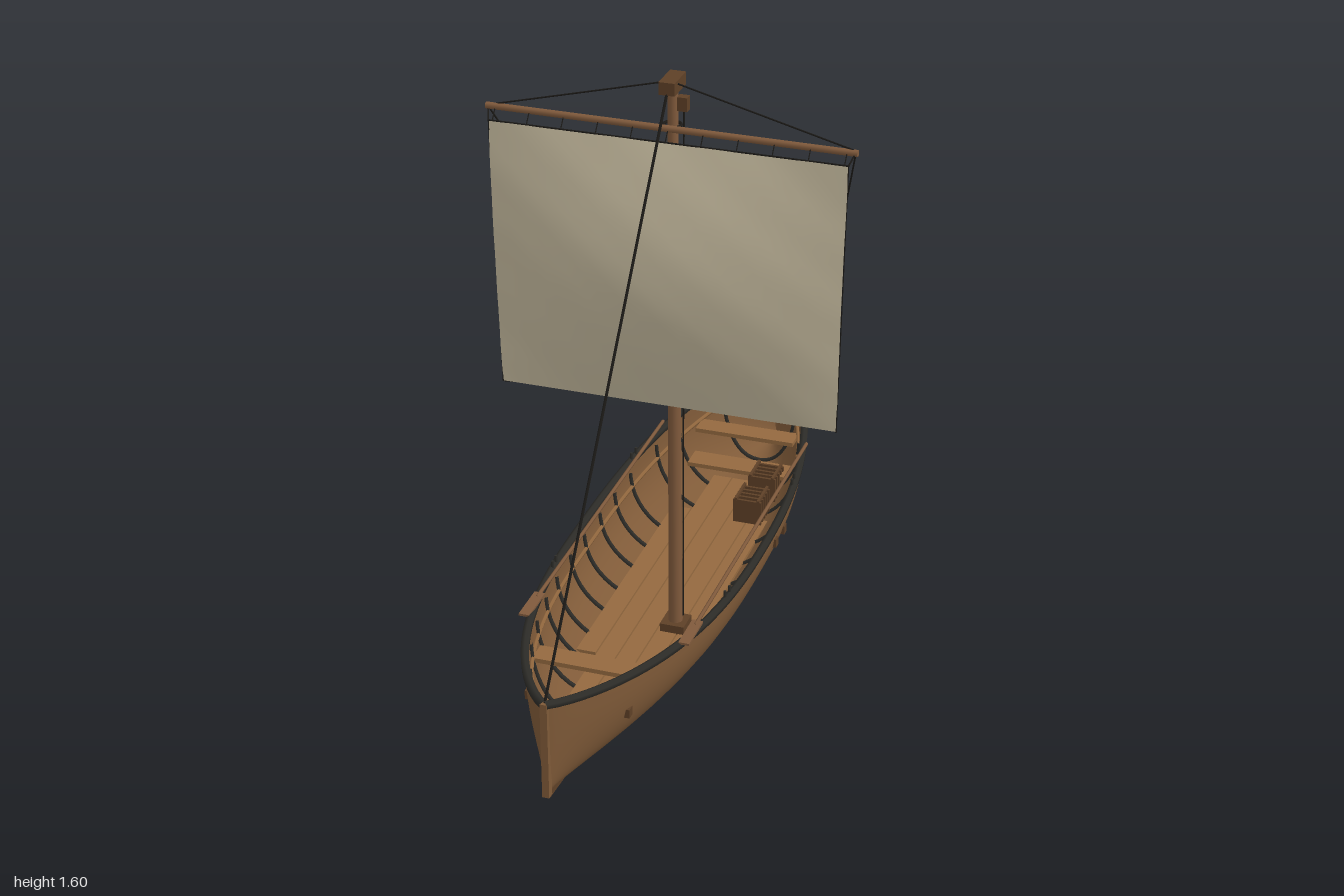
import * as THREE from 'three';

const mat = (name, color, side = THREE.FrontSide) => {
  const m = new THREE.MeshStandardMaterial({ color, side });
  m.name = name;
  return m;
};
const V = (x, y, z) => new THREE.Vector3(x, y, z);

// Hull lines: centre, plan width, sheer and bottom height along the length (t from -1 to 1)
const CX = -0.07, CZ = 0.043, HALF = 0.95;
const toT = z => THREE.MathUtils.clamp((z - CZ) / HALF, -1, 1);
const width = z => 0.248 * Math.pow(Math.max(0, 1 - Math.pow(Math.abs(toT(z)), 2.5)), 0.8);
const sheer = z => 0.232 + 0.065 * toT(z) ** 2;
const bottom = z => 0.02 + 0.028 * Math.abs(toT(z)) ** 3;

// Point on the hull section, a from -90 to 90 degrees, moved inwards by inset
function hullPoint(z, a, inset = 0) {
  const w = Math.max(0, width(z) - inset), s = sheer(z), b = bottom(z) + inset;
  const x = Math.sign(a) * w * Math.pow(Math.abs(Math.sin(a)), 0.9);
  return V(CX + x, s - (s - b) * Math.pow(Math.max(0, Math.cos(a)), 0.9), z);
}
// Half width of the hull at a height
function halfAt(z, y, inset = 0) {
  const s = sheer(z), b = bottom(z) + inset;
  const c = THREE.MathUtils.clamp((s - y) / (s - b), 0, 1) ** (1 / 0.9);
  return Math.max(0, width(z) - inset) * Math.pow(1 - c * c, 0.45);
}

// Surface from a grid of points
function grid(nu, nv, fn, flip = false) {
  const pos = [], idx = [];
  for (let i = 0; i <= nu; i++)
    for (let j = 0; j <= nv; j++) pos.push(...fn(i / nu, j / nv).toArray());
  for (let i = 0; i < nu; i++)
    for (let j = 0; j < nv; j++) {
      const a = i * (nv + 1) + j, b = a + nv + 1, c = a + 1, d = b + 1;
      if (flip) idx.push(a, c, b, b, c, d);
      else idx.push(a, b, c, b, d, c);
    }
  const g = new THREE.BufferGeometry();
  g.setAttribute('position', new THREE.Float32BufferAttribute(pos, 3));
  g.setIndex(idx);
  g.computeVertexNormals();
  return g;
}

export function createModel() {
  const root = new THREE.Group();
  root.name = 'sailingBoat';
  const hullWood = mat('hull wood', 0x7f5a38);
  const deckWood = mat('deck wood', 0x94693f);
  const sparWood = mat('spar wood', 0x805a3c);
  const darkWood = mat('dark wood', 0x5e4027);
  const trim = mat('dark trim', 0x2d2c28);
  const ropeMat = mat('rope', 0x1c1a17);
  const cloth = mat('sail cloth', 0xc6bb9f, THREE.DoubleSide);

  const add = (name, geo, m, parent = root) => {
    const mesh = new THREE.Mesh(geo, m);
    mesh.name = name;
    parent.add(mesh);
    return mesh;
  };
  const box = (name, w, h, d, x, y, z, m) => {
    const b = add(name, new THREE.BoxGeometry(w, h, d), m);
    b.position.set(x, y, z);
    return b;
  };
  // Straight round bar between two points
  const bar = (name, a, b, r0, r1, m, sides = 6) => {
    const d = b.clone().sub(a);
    const mesh = add(name, new THREE.CylinderGeometry(r1, r0, d.length(), sides), m);
    mesh.position.copy(a).addScaledVector(d, 0.5);
    mesh.quaternion.setFromUnitVectors(V(0, 1, 0), d.normalize());
    return mesh;
  };
  const rope = (name, a, b, r = 0.0022) => bar(name, a, b, r, r, ropeMat, 5);

  // Hull shells, with stations closer together at the ends
  const station = u => CZ - HALF * Math.cos(Math.PI * u);
  const angle = v => (v - 0.5) * Math.PI;
  add('hullOutside', grid(48, 28, (u, v) => hullPoint(station(u), angle(v)), true), hullWood);
  add('hullInside', grid(48, 28, (u, v) => hullPoint(station(u), angle(v), 0.012)), hullWood);

  // Gunwales and inner stringers on both sides
  for (const s of [-1, 1]) {
    const rail = [];
    for (let i = 0; i <= 32; i++) {
      const z = station(i / 32);
      rail.push(V(CX + s * Math.max(0, width(z) - 0.003), sheer(z) + 0.002, z));
    }
    add('gunwale', new THREE.TubeGeometry(new THREE.CatmullRomCurve3(rail), 64, 0.0115, 6), trim);
    const stringer = [];
    for (let i = 0; i <= 16; i++) {
      const z = -0.75 + i * 0.1;
      stringer.push(V(CX + s * halfAt(z, sheer(z) - 0.055, 0.015), sheer(z) - 0.055, z));
    }
    add('stringer', new THREE.TubeGeometry(new THREE.CatmullRomCurve3(stringer), 32, 0.006, 5), deckWood);
  }

  // Keel following the bottom, stem and sternpost
  const keel = new THREE.Shape();
  for (let i = 0; i <= 20; i++) {
    const z = CZ - HALF + i * HALF / 10;
    keel[i ? 'lineTo' : 'moveTo'](z, bottom(z) - 0.012);
  }
  for (let i = 20; i >= 0; i--) {
    const z = CZ - HALF + i * HALF / 10;
    keel.lineTo(z, bottom(z) + 0.006);
  }
  const keelGeo = new THREE.ExtrudeGeometry(keel, { depth: 0.016, bevelEnabled: false });
  keelGeo.translate(0, 0, -0.008).rotateY(-Math.PI / 2).translate(CX, 0, 0);
  add('keel', keelGeo, darkWood);
  box('stem', 0.018, 0.265, 0.02, CX, 0.172, 0.99, hullWood);
  box('sternpost', 0.018, 0.265, 0.02, CX, 0.172, -0.902, hullWood);

  // Ribs against the inside of the hull
  for (const z of [-0.72, -0.52, -0.4, -0.24, -0.13, -0.02, 0.1, 0.21, 0.33, 0.44, 0.56, 0.68, 0.8]) {
    const pts = [];
    for (let i = 0; i <= 16; i++) pts.push(hullPoint(z, angle(i / 16) * 0.97, 0.014));
    add('rib', new THREE.TubeGeometry(new THREE.CatmullRomCurve3(pts), 28, 0.0065, 5), trim);
  }

  // Floor planks, each as long as the hull allows
  const floorY = 0.07;
  for (let i = -2; i <= 2; i++) {
    const x = i * 0.056, edge = Math.abs(x) + 0.02;
    let z0 = -0.55, z1 = 0.62;
    while (halfAt(z0, floorY, 0.012) < edge && z0 < 0) z0 += 0.02;
    while (halfAt(z1, floorY, 0.012) < edge && z1 > 0) z1 -= 0.02;
    box('floorPlank', 0.052, 0.01, z1 - z0, CX + x, floorY, (z0 + z1) / 2, deckWood);
  }

  // Thwarts and stern bench
  for (const [z, d, y] of [[0.65, 0.06, 0.2], [-0.6, 0.06, 0.2], [-0.53, 0.07, 0.13]])
    box('thwart', 2 * halfAt(z + Math.sign(z) * d / 2, y, 0.012), 0.012, d, CX, y, z, deckWood);

  // Slatted crates near the stern
  for (const z of [-0.49, -0.355]) {
    for (let i = 0; i < 5; i++)
      box('crateSlat', 0.08, 0.07, 0.007, 0.02, 0.115, z + (i - 2) * 0.019, darkWood);
    for (const x of [-0.012, 0.052]) box('crateRail', 0.007, 0.008, 0.09, x, 0.153, z, darkWood);
  }

  // Oars lying along the gunwales, with thole pins
  for (const s of [-1, 1]) {
    const x = CX + s * 0.21;
    bar('oarShaft', V(x, 0.264, -0.48), V(x, 0.264, 0.5), 0.005, 0.005, sparWood);
    box('oarBlade', 0.028, 0.006, 0.11, x, 0.264, 0.535, sparWood);
    for (const z of [-0.3, -0.27, 0.3, 0.33]) {
      const px = CX + s * (width(z) - 0.005);
      bar('tholePin', V(px, sheer(z), z), V(px, sheer(z) + 0.03, z), 0.004, 0.004, trim);
    }
    // Side fittings and rope blocks
    for (const [z, y, m] of [[0.77, 0.165, darkWood], [-0.18, 0.165, darkWood], [-0.07, 0.188, darkWood], [-0.6, 0.235, trim]])
      box('sideFitting', 0.014, 0.024, 0.022, CX + s * halfAt(z, y), y, z, m);
  }

  // Mast with step and masthead
  const MZ = 0.24;
  bar('mast', V(0, 0.06, MZ), V(0, 1.585, MZ), 0.019, 0.013, sparWood, 12);
  box('mastStep', 0.065, 0.025, 0.065, 0, 0.085, MZ, darkWood);
  box('masthead', 0.04, 0.032, 0.085, 0, 1.59, MZ + 0.003, darkWood);
  box('halyardBlock', 0.025, 0.035, 0.022, 0.035, 1.552, 0.265, darkWood);
  const collar = add('mastCollar', new THREE.TorusGeometry(0.022, 0.004, 6, 14), ropeMat);
  collar.rotation.x = Math.PI / 2;
  collar.position.set(0, 1.485, MZ + 0.005);

  // Yard and billowing sail
  bar('yard', V(-0.465, 1.487, 0.272), V(0.465, 1.483, 0.272), 0.009, 0.009, sparWood, 8);
  const sailPoint = (u, v) => {
    const k = u * 2 - 1;
    return V(k * (0.435 + 0.015 * v), 0.755 + 0.705 * v,
      0.298 + 0.06 * Math.sin(Math.PI * v) * Math.cos(k * Math.PI / 2 * 0.92)
      + 0.0015 * Math.sin(u * 23 + v * 9) * Math.sin(v * 17));
  };
  add('sail', grid(18, 14, sailPoint), cloth);
  rope('sailHeadRope', V(-0.45, 1.46, 0.298), V(0.45, 1.46, 0.298));
  for (let i = 0; i < 11; i++) {
    const x = -0.44 + i * 0.088;
    rope('sailLashing', V(x, 1.458, 0.298), V(x, 1.487, 0.275), 0.0015);
  }

  // Standing and running rigging
  rope('forestay', V(CX, 0.3, 0.99), V(0, 1.58, 0.28), 0.0038);
  rope('halyard', V(0.035, 1.54, 0.262), V(0.012, 0.09, 0.215));
  for (const s of [-1, 1]) {
    const x = CX + s * 0.165;
    rope('backstay', V(x, 0.25, -0.59), V(0, 1.45, MZ - 0.005), 0.0035);
    rope('brace', V(x, 0.26, -0.6), V(s * 0.46, 1.485, 0.272));
    rope('sheet', V(CX + s * 0.155, 0.262, -0.65), V(s * 0.435, 0.755, 0.298));
    rope('yardLift', V(s * 0.455, 1.49, 0.272), V(0, 1.602, 0.26));
    rope('sailLeechRope', V(s * 0.435, 0.755, 0.298), V(s * 0.45, 1.46, 0.298), 0.0015);
    rope('earing', V(s * 0.45, 1.46, 0.298), V(s * 0.46, 1.485, 0.272));
  }

  // Rudder and tiller
  box('rudderBlade', 0.016, 0.145, 0.078, CX, 0.083, -0.961, darkWood);
  bar('rudderStock', V(CX, 0.09, -0.922), V(CX, 0.352, -0.922), 0.008, 0.008, sparWood, 8);
  bar('tiller', V(CX, 0.347, -0.922), V(-0.04, 0.265, -0.58), 0.006, 0.005, sparWood);
  return root;
}
